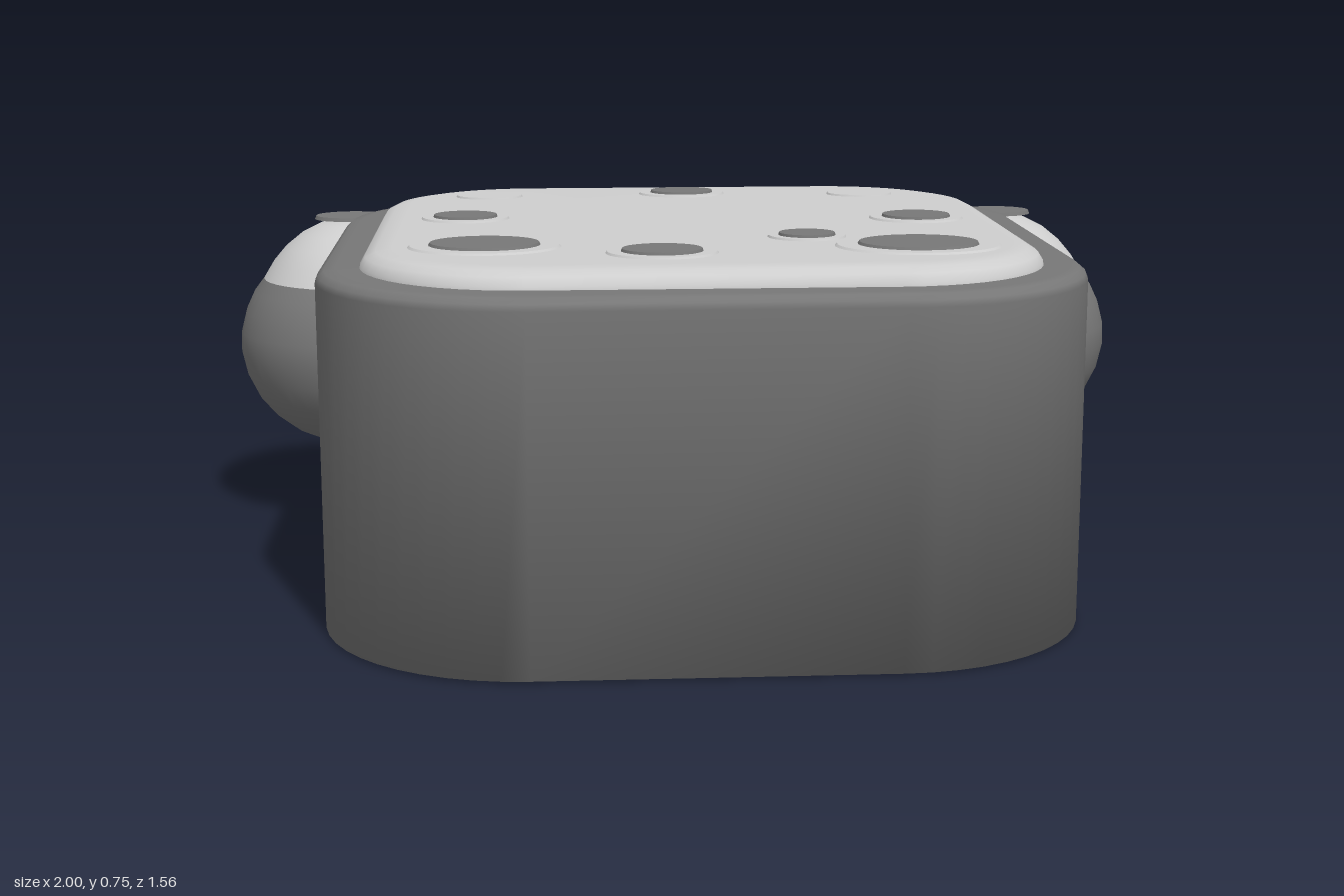
import * as THREE from 'three';

const CENTER_Z = 0.037;

// Closed rounded-square solid: each ring is [half width, corner radius, height], bottom to top
function roundedSolid(rings, steps = 12) {
  const pos = [], index = [];
  const n = 4 * (steps + 1);
  for (const [half, r, y] of rings) {
    for (let c = 0; c < 4; c++) {
      const mid = Math.PI / 4 + c * Math.PI / 2;
      const cx = Math.sign(Math.cos(mid)) * (half - r);
      const cz = Math.sign(Math.sin(mid)) * (half - r);
      for (let i = 0; i <= steps; i++) {
        const a = (c + i / steps) * Math.PI / 2;
        pos.push(cx + r * Math.cos(a), y, cz + r * Math.sin(a));
      }
    }
  }
  for (let k = 0; k < rings.length - 1; k++) {
    for (let i = 0; i < n; i++) {
      const a = k * n + i, b = k * n + (i + 1) % n;
      index.push(a, a + n, b, b, a + n, b + n);
    }
  }
  // Flat caps
  const top = (rings.length - 1) * n;
  const lowMid = pos.length / 3, highMid = lowMid + 1;
  pos.push(0, rings[0][2], 0, 0, rings[rings.length - 1][2], 0);
  for (let i = 0; i < n; i++) {
    const j = (i + 1) % n;
    index.push(lowMid, i, j, highMid, top + j, top + i);
  }
  const g = new THREE.BufferGeometry();
  g.setAttribute('position', new THREE.Float32BufferAttribute(pos, 3));
  g.setIndex(index);
  g.computeVertexNormals();
  return g;
}

export function createModel() {
  const dark = new THREE.MeshStandardMaterial({ color: 0x777777 });
  dark.name = 'dark grey';
  const light = new THREE.MeshStandardMaterial({ color: 0xcecece });
  light.name = 'light grey';

  const model = new THREE.Group();
  model.name = 'roundedBlock';
  const add = (name, geometry, material, x, y, z) => {
    const mesh = new THREE.Mesh(geometry, material);
    mesh.name = name;
    mesh.position.set(x, y, z);
    model.add(mesh);
    return mesh;
  };
  const disc = (name, material, x, y, z, rx, rz, h) =>
    add(name, new THREE.CylinderGeometry(0.96, 1, h, 32), material, x, y - h / 2, z).scale.set(rx, 1, rz);

  // Main block with a softened top edge
  add('body', roundedSolid([
    [0.74, 0.4, 0.004], [0.74, 0.4, 0.68], [0.735, 0.395, 0.692], [0.723, 0.383, 0.702], [0.7, 0.36, 0.704],
  ]), dark, 0, 0, CENTER_Z);

  // Pale core running through the block, showing as the top panel and on the underside
  add('paleCore', roundedSolid([
    [0.657, 0.32, 0], [0.657, 0.32, 0.695], [0.655, 0.318, 0.71], [0.645, 0.308, 0.726],
    [0.625, 0.288, 0.736], [0.595, 0.258, 0.741],
  ]), light, 0, 0, CENTER_Z);

  // Spots on pale raised rims: x, z, half width, half depth
  const spots = [
    [0.008, -0.435, 0.07, 0.056], [-0.467, -0.028, 0.066, 0.06], [0.47, 0.022, 0.071, 0.065],
    [-0.418, 0.392, 0.106, 0.089], [-0.085, 0.493, 0.077, 0.066], [0.21, 0.292, 0.056, 0.051],
    [0.408, 0.43, 0.116, 0.094],
  ];
  for (const [x, z, rx, rz] of spots) {
    disc('spotRim', light, x, 0.745, z, rx * 1.4, rz * 1.4, 0.006);
    disc('spot', dark, x, 0.75, z, rx * 1.02, rz * 1.02, 0.008);
  }
  // Plain pale bumps in the back corners
  for (const x of [-0.425, 0.41]) disc('paleBump', light, x, 0.745, -0.405, 0.075, 0.06, 0.006);

  // Side balls: dark bowl, pale cap, dark dot on top
  const curve = points => new THREE.LatheGeometry(points.map(p => new THREE.Vector2(...p)), 40);
  const bowl = curve([
    [0, 0.163], [0.05, 0.165], [0.105, 0.178], [0.16, 0.203], [0.205, 0.238], [0.24, 0.28],
    [0.264, 0.33], [0.276, 0.385], [0.275, 0.43], [0.262, 0.48], [0.243, 0.52], [0.22, 0.55],
  ]);
  const cap = curve([
    [0.22, 0.55], [0.197, 0.588], [0.168, 0.622], [0.132, 0.651], [0.09, 0.672], [0.045, 0.681], [0, 0.683],
  ]);
  for (const side of [-1, 1]) {
    add('ballBowl', bowl, dark, side * 0.724, 0, -0.505);
    add('ballCap', cap, light, side * 0.724, 0, -0.505);
    disc('ballDot', dark, side * 0.745, 0.688, -0.52, 0.082, 0.067, 0.008);
  }
  return model;
}
